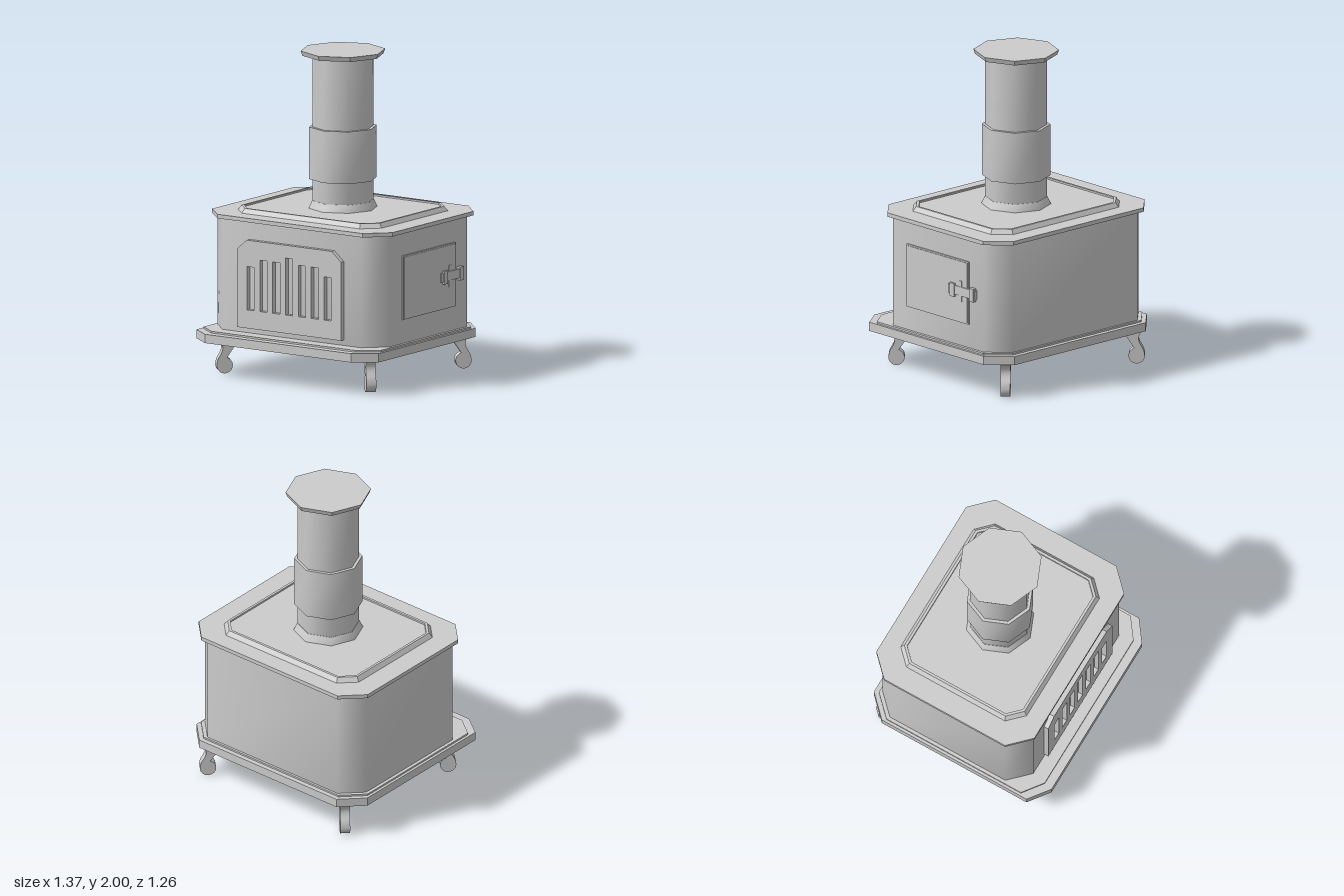
import * as THREE from 'three';
import { toCreasedNormals } from 'three/addons/utils/BufferGeometryUtils.js';

const material = new THREE.MeshStandardMaterial({ color: 0xcccccc });
const PIPE_Z = -0.06;

function add(parent, name, geometry, x = 0, y = 0, z = 0) {
  const mesh = new THREE.Mesh(geometry, material);
  mesh.name = name;
  mesh.position.set(x, y, z);
  parent.add(mesh);
  return mesh;
}

// Chamfered rectangle seen from above, counterclockwise
function outline({ w, back, front, cx, cBack = cx, cFront = cx }) {
  return [
    [w, front - cFront], [w, back + cBack], [w - cx, back], [cx - w, back],
    [-w, back + cBack], [-w, front - cFront], [cx - w, front], [w - cx, front],
  ];
}

// Closed solid through a stack of chamfered rectangles, bottom to top
function loft(rings, crease = 0.5) {
  const n = 8, last = (rings.length - 1) * n;
  const positions = [], index = [];
  for (const ring of rings) {
    for (const [x, z] of outline(ring)) positions.push(x, ring.y, z);
  }
  for (let r = 0; r < rings.length - 1; r++) {
    for (let i = 0; i < n; i++) {
      const a = r * n + i, b = r * n + (i + 1) % n;
      index.push(a, b, b + n, a, b + n, a + n);
    }
  }
  for (let i = 1; i < n - 1; i++) {
    index.push(0, i + 1, i, last, last + i, last + i + 1);
  }
  const geometry = new THREE.BufferGeometry();
  geometry.setAttribute('position', new THREE.Float32BufferAttribute(positions, 3));
  geometry.setIndex(index);
  return toCreasedNormals(geometry, crease);
}

const slab = (ring, y0, y1, crease) => loft([{ ...ring, y: y0 }, { ...ring, y: y1 }], crease);

// Eight-sided pipe section with soft sides and sharp rims
function pipe(parent, name, rTop, rBottom, y0, y1, crease = 0.9) {
  const geometry = toCreasedNormals(new THREE.CylinderGeometry(rTop, rBottom, y1 - y0, 8), crease);
  add(parent, name, geometry, 0, (y0 + y1) / 2, PIPE_Z);
}

// Front door plate with upright slots, tallest in the middle
function frontDoorGeometry() {
  const shape = new THREE.Shape([
    [-0.39, 0.315], [0.39, 0.315], [0.39, 0.805], [0.32, 0.865], [-0.32, 0.865], [-0.39, 0.805],
  ].map(([x, y]) => new THREE.Vector2(x, y)));
  const tops = [0.785, 0.75, 0.75, 0.70];
  for (let i = -3; i <= 3; i++) {
    const x = i * 0.0965, h = 0.027, top = tops[Math.abs(i)];
    shape.holes.push(new THREE.Path([
      [x - h, 0.43], [x - h, top], [x + h, top], [x + h, 0.43],
    ].map(([px, py]) => new THREE.Vector2(px, py))));
  }
  return new THREE.ExtrudeGeometry(shape, { depth: 0.04, bevelEnabled: false });
}

// Curved leg ending in a round scroll; local +x points outward
function legGeometry() {
  const shape = new THREE.Shape();
  shape.moveTo(-0.08, 0.22);
  shape.bezierCurveTo(-0.07, 0.17, -0.04, 0.14, -0.015, 0.098);
  shape.absarc(0, 0.05, 0.05, Math.PI * 0.6, Math.PI * 2.1, false);
  shape.bezierCurveTo(0.045, 0.10, 0.015, 0.12, 0.012, 0.155);
  shape.quadraticCurveTo(0.012, 0.19, 0.045, 0.22);
  const geometry = new THREE.ExtrudeGeometry(shape, { depth: 0.06, bevelEnabled: false, curveSegments: 8 });
  geometry.translate(0, 0, -0.03);
  return toCreasedNormals(geometry, 0.7);
}

export function createModel() {
  const model = new THREE.Group();
  model.name = 'stove';

  // Base slab with a thin step on top
  add(model, 'base', slab({ w: 0.685, back: -0.635, front: 0.627, cx: 0.135, cFront: 0.1 }, 0.215, 0.27));
  add(model, 'baseStep', slab({ w: 0.668, back: -0.605, front: 0.572, cx: 0.128, cFront: 0.095 }, 0.265, 0.281));

  // Firebox
  add(model, 'firebox', slab({ w: 0.647, back: -0.59, front: 0.48, cx: 0.125 }, 0.275, 0.98, 0.9));

  // Top plate
  add(model, 'topPlate', slab({ w: 0.678, back: -0.62, front: 0.502, cx: 0.132 }, 0.975, 1.0));

  // Raised cooking surface: sloped rim around a shallow recess
  const rim = (y, inset, c) => ({ y, w: 0.54 - inset, back: -0.507 + inset, front: 0.387 - inset, cx: c });
  add(model, 'cookingSurface', loft([
    rim(0.995, 0, 0.097), rim(1.0, 0, 0.097), rim(1.028, 0.02, 0.086), rim(1.028, 0.036, 0.077), rim(1.018, 0.037, 0.077),
  ], 0.2));

  // Chimney
  const chimney = new THREE.Group();
  chimney.name = 'chimney';
  model.add(chimney);
  pipe(chimney, 'flange', 0.192, 0.215, 1.015, 1.065);
  pipe(chimney, 'pipe', 0.19, 0.19, 1.05, 1.975);
  pipe(chimney, 'sleeve', 0.21, 0.21, 1.2, 1.525);
  pipe(chimney, 'cap', 0.263, 0.252, 1.97, 2.0, 0.2);

  // Slotted front door
  add(model, 'frontDoor', frontDoorGeometry(), 0, 0, 0.47);

  // Side door: thin border frame with an inner panel
  const sideDoor = new THREE.Group();
  sideDoor.name = 'sideDoor';
  model.add(sideDoor);
  const block = (name, depth, y0, y1, z0, z1) =>
    add(sideDoor, name, new THREE.BoxGeometry(depth + 0.01, y1 - y0, z1 - z0),
      0.642 + depth / 2, (y0 + y1) / 2, (z0 + z1) / 2);
  block('doorFrame', 0.008, 0.43, 0.83, -0.333, 0.225);
  block('doorPanel', 0.012, 0.439, 0.821, -0.324, 0.216);

  // Latch: bar, two keepers and a pivot
  block('latchBar', 0.02, 0.603, 0.66, -0.4, -0.163);
  block('latchKeeper', 0.027, 0.588, 0.672, -0.222, -0.184);
  block('latchKeeper', 0.027, 0.588, 0.672, -0.394, -0.358);
  block('latchPivot', 0.016, 0.563, 0.697, -0.278, -0.252);

  // Four legs splayed along the diagonals
  const leg = legGeometry();
  for (const sx of [-1, 1]) {
    for (const [sz, z, name] of [[1, 0.425, 'frontLeg'], [-1, -0.555, 'backLeg']]) {
      add(model, name, leg, sx * 0.55, 0, z).rotation.y = Math.atan2(-sz, sx);
    }
  }
  return model;
}
